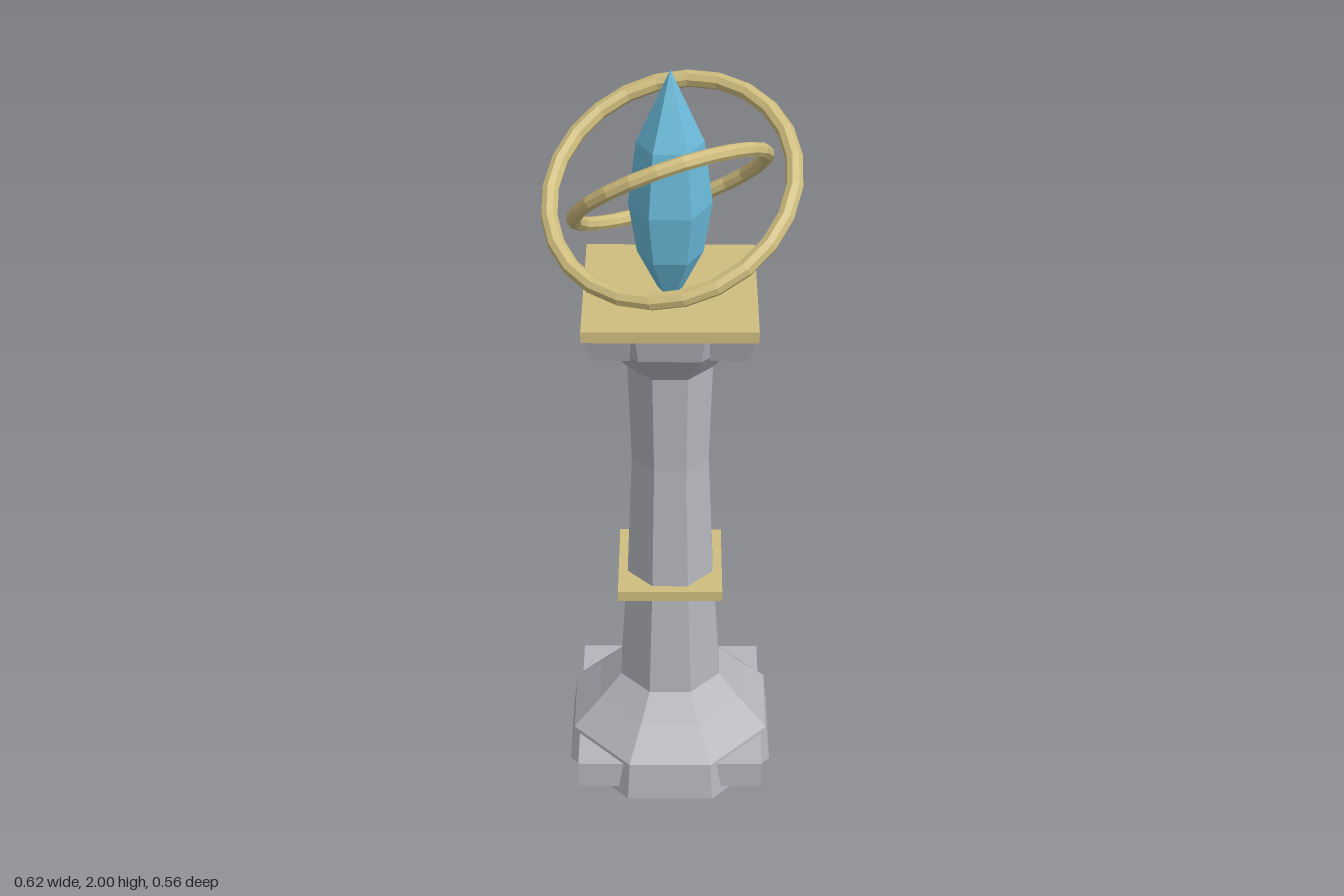
import * as THREE from 'three';

const mat = (name, color) => {
  const m = new THREE.MeshStandardMaterial({ color, flatShading: true });
  m.name = name;
  return m;
};

export function createModel() {
  const stone = mat('stone', 0xb4b6bc);
  const gold = mat('gold', 0xcfbd7e);
  const crystalBlue = mat('crystalBlue', 0x6abada);
  const group = new THREE.Group();

  const add = (name, geometry, material, x = 0, y = 0, z = 0) => {
    const mesh = new THREE.Mesh(geometry, material);
    mesh.name = name;
    mesh.position.set(x, y, z);
    group.add(mesh);
    return mesh;
  };

  // Faceted solid from [apothem, y] pairs, listed from bottom to top
  const faceted = (profile, sides, start) => {
    const k = 1 / Math.cos(Math.PI / sides);
    const points = profile.map(([a, y]) => new THREE.Vector2(a * k, y));
    return new THREE.LatheGeometry(points, sides, start);
  };

  // Octagonal pedestal with flat sides facing the axes
  const oct = Math.PI / 8;
  add('base', faceted([[0, 0], [0.272, 0], [0.26, 0.11], [0.19, 0.185], [0.132, 0.255]], 8, oct), stone);
  add('shaft', faceted([[0.132, 0.255], [0.112, 0.58], [0.097, 0.95], [0.105, 1.23]], 8, oct), stone);
  add('capital', faceted([[0.105, 1.23], [0.182, 1.33], [0.198, 1.4], [0, 1.4]], 8, oct), stone);

  // Corner blocks on the base and under the top plate
  const footBlock = new THREE.BoxGeometry(0.145, 0.08, 0.145);
  for (const sx of [-1, 1]) {
    for (const sz of [-1, 1]) {
      add('footBlock', footBlock, stone, sx * 0.1725, 0.06, sz * 0.1725);
      const block = new THREE.BoxGeometry(0.11, 0.065, 0.11);
      const p = block.attributes.position;
      for (let i = 0; i < p.count; i++) {
        // Lower outer corners draw in towards the column
        if (p.getY(i) < 0) {
          if (p.getX(i) * sx > 0) p.setX(i, p.getX(i) - sx * 0.02);
          if (p.getZ(i) * sz > 0) p.setZ(i, p.getZ(i) - sz * 0.02);
        }
      }
      block.computeVertexNormals();
      add('capitalBlock', block, stone, sx * 0.15, 1.3675, sz * 0.15);
    }
  }

  // Square gold trim
  add('band', new THREE.BoxGeometry(0.27, 0.03, 0.27), gold, 0, 0.583, 0);
  add('topPlate', new THREE.BoxGeometry(0.42, 0.03, 0.42), gold, 0, 1.415, 0);

  // Six-sided crystal, with two edges on the x axis
  const h = Math.cos(Math.PI / 6);
  const crystal = [[0, 1.42], [0.025, 1.42], [0.08, 1.53], [0.1, 1.66], [0.08, 1.82], [0, 2]];
  add('crystal', faceted(crystal.map(([r, y]) => [r * h, y]), 6, Math.PI / 2), crystalBlue);

  // Tilted rings around the crystal: radius, tube, axis
  const rings = [
    ['outerRing', 0.3, 0.021, [-0.26, 0.82, 0.5]],
    ['innerRing', 0.24, 0.018, [-0.32, 0.743, -0.586]],
  ];
  for (const [name, radius, tube, axis] of rings) {
    const ring = add(name, new THREE.TorusGeometry(radius, tube, 8, 24), gold, 0, 1.7, 0);
    ring.quaternion.setFromUnitVectors(
      new THREE.Vector3(0, 0, 1), new THREE.Vector3(...axis).normalize());
  }
  return group;
}
